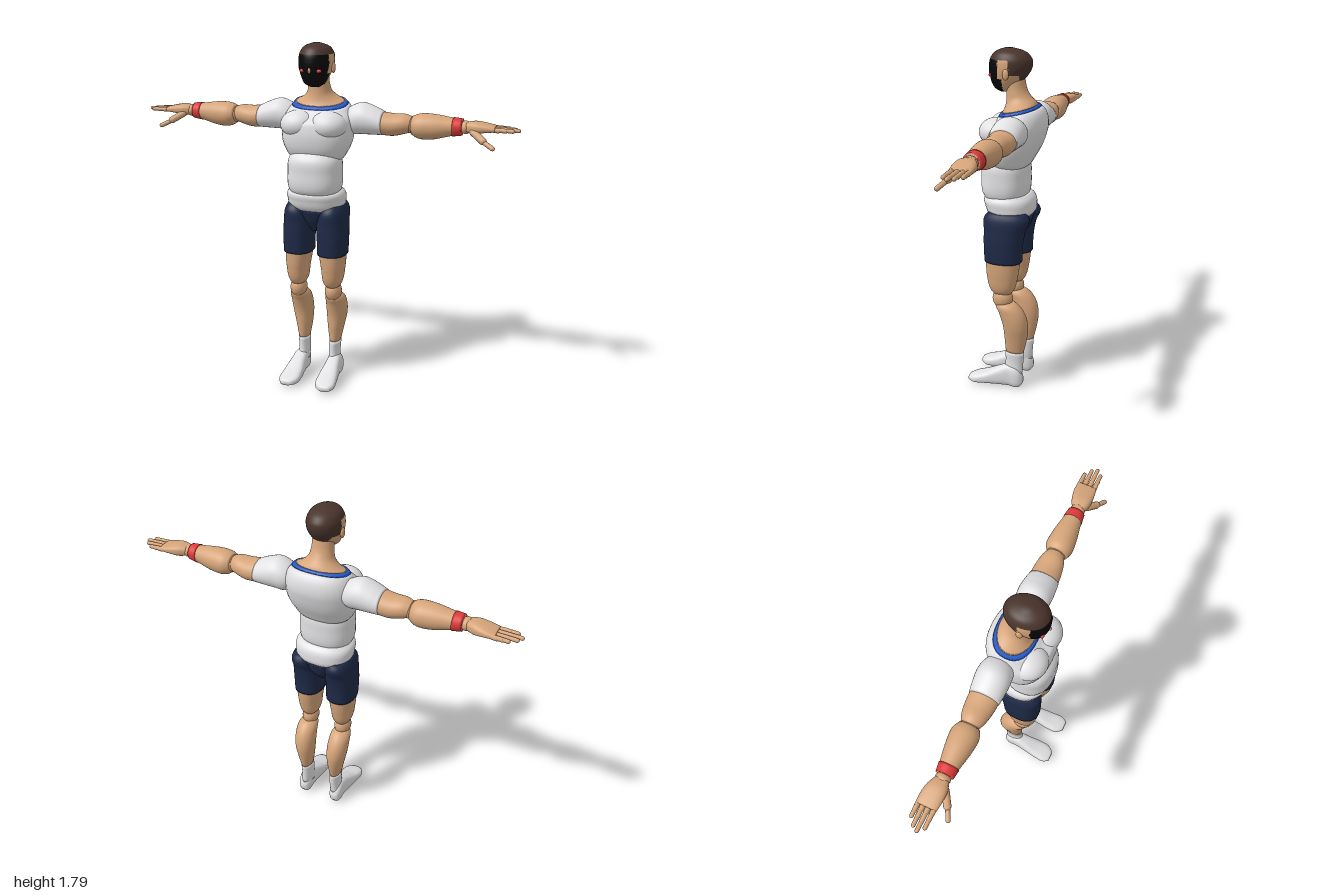
import * as THREE from 'three';

const mat = (name, color) => Object.assign(new THREE.MeshStandardMaterial({ color }), { name });

// Smooth body from sections [t, aMin, aMax, bMin, bMax] along one axis.
// axis y: a = x, b = z;  axis x: a = y, b = z;  axis z: a = x, b = y.
function loft(axis, sections, { power = 1, rings = 24, sides = 32, warp, region } = {}) {
  const spline = new THREE.CubicInterpolant(
    new Float32Array(sections.map(s => s[0])), new Float32Array(sections.flatMap(s => s.slice(1))), 4);
  const t0 = sections[0][0], t1 = sections[sections.length - 1][0];
  const sign = axis === 'y' ? 1 : -1;
  const round = v => Math.sign(v) * Math.abs(v) ** power;
  const points = [];
  const add = (t, a, b) => {
    const p = axis === 'y' ? new THREE.Vector3(a, t, b)
      : axis === 'x' ? new THREE.Vector3(t, a, b) : new THREE.Vector3(a, b, t);
    if (warp) warp(p);
    points.push(p);
  };
  for (let i = 0; i <= rings; i++) {
    const t = t0 + (t1 - t0) * i / rings;
    const [a0, a1, b0, b1] = Array.from(spline.evaluate(Math.min(t, t1 - 1e-6)));
    for (let j = 0; j < sides; j++) {
      const q = j / sides * Math.PI * 2;
      add(t, (a0 + a1) / 2 + (a1 - a0) / 2 * round(Math.cos(q)),
        (b0 + b1) / 2 + sign * (b1 - b0) / 2 * round(Math.sin(q)));
    }
  }
  for (const s of [sections[0], sections[sections.length - 1]]) add(s[0], (s[1] + s[2]) / 2, (s[3] + s[4]) / 2);
  const buckets = [[], [], []];
  const face = (...f) => {
    const c = new THREE.Vector3();
    f.forEach(k => c.addScaledVector(points[k], 1 / 3));
    buckets[region ? region(c) : 0].push(...f);
  };
  const start = (rings + 1) * sides;
  for (let j = 0; j < sides; j++) {
    const k = (j + 1) % sides, top = rings * sides;
    for (let i = 0; i < rings; i++) {
      const r = i * sides, n = r + sides;
      face(r + j, n + j, r + k);
      face(n + j, n + k, r + k);
    }
    face(start, j, k);
    face(start + 1, top + k, top + j);
  }
  const g = new THREE.BufferGeometry().setFromPoints(points);
  g.setIndex(buckets.flat());
  if (region) {
    let at = 0;
    buckets.forEach((b, m) => { g.addGroup(at, b.length, m); at += b.length; });
  }
  g.computeVertexNormals();
  return g;
}

// Loft symmetric about x = 0, from sections [y, halfWidth, zBack, zFront]
const trunk = (rows, options) => loft('y', rows.map(([y, w, b, f]) => [y, -w, w, b, f]), options);

const ball = (x, y, z, rx, ry = rx, rz = rx) =>
  new THREE.SphereGeometry(1, 24, 16).scale(rx, ry, rz).translate(x, y, z);

// Capsule joining two points
function bone(from, to, radius) {
  const a = new THREE.Vector3(...from), b = new THREE.Vector3(...to), d = b.clone().sub(a);
  const turn = new THREE.Quaternion().setFromUnitVectors(new THREE.Vector3(0, 1, 0), d.clone().normalize());
  const mid = a.add(b).multiplyScalar(0.5);
  return new THREE.CapsuleGeometry(radius, d.length(), 4, 12).applyQuaternion(turn).translate(mid.x, mid.y, mid.z);
}

function mirrored(geometry) {
  const g = geometry.clone().scale(-1, 1, 1), ix = g.index.array;
  for (let i = 0; i < ix.length; i += 3) [ix[i], ix[i + 1]] = [ix[i + 1], ix[i]];
  return g;
}

export function createModel() {
  const skin = mat('skin', 0xd6a57a), cloth = mat('white cloth', 0xe2e2e4), navy = mat('navy shorts', 0x1e2a47);
  const hair = mat('brown hair', 0x49342c), black = mat('black mask', 0x080808);
  const red = mat('red', 0xe03a3a), blue = mat('blue collar', 0x2a5cc8);
  const model = new THREE.Group();
  model.name = 'figure';
  const part = (name, material, geometry) => {
    const m = new THREE.Mesh(geometry, material);
    m.name = name;
    model.add(m);
  };
  const pair = (name, material, geometry) => {
    part(name + 'Left', material, geometry);
    part(name + 'Right', material, mirrored(geometry));
  };

  // Torso: the neckline slopes up toward the back
  const slope = p => { p.y -= THREE.MathUtils.clamp((p.y - 1.4) / 0.07, 0, 1) * 0.22 * (p.z + 0.07); };
  part('chest', cloth, trunk([
    [1.19, 0.09, -0.08, 0.04], [1.21, 0.13, -0.105, 0.075], [1.25, 0.158, -0.13, 0.105], [1.3, 0.178, -0.158, 0.12],
    [1.36, 0.184, -0.18, 0.122], [1.42, 0.178, -0.19, 0.105], [1.46, 0.16, -0.175, 0.065], [1.483, 0.143, -0.152, 0.04],
  ], { power: 0.85, warp: slope }));
  pair('pectoral', cloth, ball(0.078, 1.385, 0.04, 0.095, 0.07, 0.088));
  part('collar', blue, trunk([[1.481, 0.146, -0.154, 0.043], [1.496, 0.134, -0.143, 0.034]],
    { power: 0.85, rings: 2, warp: slope }));
  part('neck', skin, trunk([
    [1.494, 0.132, -0.142, 0.032], [1.51, 0.1, -0.135, 0.022], [1.54, 0.067, -0.112, 0.014],
    [1.58, 0.056, -0.09, 0.012], [1.65, 0.052, -0.075, 0.02],
  ], { warp: slope }));
  part('abdomen', cloth, trunk([
    [1.03, 0.118, -0.085, 0.11], [1.06, 0.134, -0.1, 0.13], [1.15, 0.139, -0.106, 0.137],
    [1.22, 0.13, -0.1, 0.13], [1.26, 0.1, -0.075, 0.095],
  ], { power: 0.85 }));
  part('pelvis', cloth, trunk([
    [0.935, 0.1, -0.1, 0.075], [0.96, 0.138, -0.13, 0.1], [1, 0.15, -0.137, 0.116],
    [1.04, 0.146, -0.126, 0.121], [1.06, 0.125, -0.105, 0.1],
  ], { power: 0.85 }));
  part('shortsCrotch', navy, trunk([
    [0.83, 0.025, -0.06, 0.035], [0.88, 0.07, -0.105, 0.072], [0.95, 0.14, -0.128, 0.098],
  ], { rings: 10 }));

  // Legs
  pair('shortsLeg', navy, loft('y', [
    [0.715, 0.016, 0.168, -0.095, 0.1], [0.8, 0.014, 0.171, -0.098, 0.103], [0.88, 0.014, 0.168, -0.112, 0.103],
    [0.95, 0.03, 0.16, -0.136, 0.1], [0.98, 0.05, 0.145, -0.115, 0.075],
  ], { power: 0.85 }));
  pair('thigh', skin, loft('y', [
    [0.535, 0.062, 0.13, -0.04, 0.055], [0.555, 0.049, 0.142, -0.055, 0.07],
    [0.63, 0.038, 0.155, -0.075, 0.088], [0.73, 0.022, 0.162, -0.088, 0.095],
  ], { power: 0.9 }));
  pair('knee', skin, ball(0.097, 0.505, 0.005, 0.044, 0.056, 0.054));
  pair('calf', skin, loft('y', [
    [0.2, 0.06, 0.117, -0.108, -0.01], [0.28, 0.048, 0.134, -0.126, -0.004], [0.36, 0.042, 0.15, -0.132, 0.004],
    [0.43, 0.044, 0.153, -0.112, 0.025], [0.47, 0.05, 0.147, -0.08, 0.042], [0.488, 0.065, 0.13, -0.055, 0.032],
  ]));
  pair('sock', cloth, loft('y', [
    [0.07, 0.058, 0.124, -0.1, 0.01], [0.12, 0.057, 0.116, -0.104, -0.006], [0.2, 0.058, 0.119, -0.11, -0.008],
  ], { rings: 8 }));
  pair('shoe', cloth, loft('z', [
    [-0.105, 0.078, 0.112, 0.02, 0.06], [-0.09, 0.065, 0.125, 0, 0.095], [-0.03, 0.058, 0.132, 0, 0.122],
    [0.03, 0.053, 0.14, 0, 0.1], [0.1, 0.046, 0.15, 0, 0.066], [0.16, 0.052, 0.152, 0, 0.045],
    [0.19, 0.078, 0.135, 0.006, 0.033],
  ], { power: 0.7 }));

  // Arms
  pair('sleeve', cloth, loft('x', [
    [0.12, 1.37, 1.44, -0.12, -0.03], [0.165, 1.335, 1.475, -0.148, 0], [0.22, 1.335, 1.493, -0.157, 0.01],
    [0.28, 1.336, 1.476, -0.154, 0.008], [0.33, 1.337, 1.453, -0.147, 0.002],
  ]));
  pair('upperArm', skin, loft('x', [
    [0.32, 1.338, 1.452, -0.145, 0], [0.38, 1.336, 1.446, -0.143, -0.006],
    [0.44, 1.35, 1.446, -0.132, -0.018], [0.472, 1.36, 1.437, -0.118, -0.032],
  ]));
  pair('elbow', skin, ball(0.475, 1.395, -0.075, 0.042, 0.042, 0.047));
  pair('forearm', skin, loft('x', [
    [0.475, 1.348, 1.44, -0.125, -0.022], [0.505, 1.332, 1.452, -0.141, -0.01], [0.57, 1.33, 1.455, -0.14, -0.012],
    [0.675, 1.355, 1.442, -0.122, -0.03], [0.72, 1.362, 1.438, -0.115, -0.036],
  ]));
  pair('wristband', red, loft('x', [[0.675, 1.352, 1.445, -0.125, -0.027], [0.72, 1.359, 1.441, -0.118, -0.033]],
    { rings: 4 }));
  pair('wrist', skin, ball(0.735, 1.4, -0.075, 0.03, 0.032, 0.036));
  pair('palm', skin, loft('x', [
    [0.74, 1.377, 1.427, -0.108, -0.042], [0.78, 1.372, 1.432, -0.126, -0.03],
    [0.83, 1.38, 1.425, -0.136, -0.03], [0.878, 1.386, 1.414, -0.136, -0.036],
  ], { power: 0.75 }));

  // Fingers in three joints each, little finger to index
  [[-0.125, 0.952], [-0.1, 0.985], [-0.075, 1], [-0.049, 0.975]].forEach(([z, tip], f) => {
    const x0 = 0.865, step = (tip - 0.009 - x0) / 3;
    for (let k = 0; k < 3; k++) {
      pair(`finger${f + 1}Joint${k + 1}`, skin,
        bone([x0 + k * step, 1.4, z], [x0 + (k + 1) * step - 0.006, 1.398, z], 0.0125 - k * 0.0013));
    }
  });
  pair('thumbBase', skin, bone([0.775, 1.385, -0.045], [0.83, 1.35, -0.012], 0.018));
  pair('thumbTip', skin, bone([0.835, 1.345, -0.008], [0.88, 1.323, 0.014], 0.0115));

  // Head: hair, bare skin and face mask
  part('head', [hair, skin, black], trunk([
    [1.572, 0.022, 0, 0.045], [1.585, 0.046, -0.015, 0.068], [1.61, 0.063, -0.05, 0.086], [1.65, 0.079, -0.09, 0.098],
    [1.7, 0.087, -0.115, 0.102], [1.74, 0.08, -0.108, 0.092], [1.77, 0.054, -0.07, 0.062], [1.785, 0.014, -0.015, 0.02],
  ], {
    rings: 56, sides: 64,
    region: ({ y, z }) => {
      if (y > 1.733 || (z < -0.02 && y > 1.66) || (z < -0.065 && y > 1.625)) return 0;
      return z > (y > 1.64 ? 0.038 : 0.018) ? 2 : 1;
    },
  }));
  pair('ear', skin, ball(0.086, 1.665, -0.008, 0.01, 0.027, 0.016));
  pair('eye', red, ball(0.043, 1.655, 0.084, 0.014, 0.009, 0.008).rotateY(0));
  part('nose', skin, ball(0, 1.657, 0.1, 0.007, 0.014, 0.007));
  return model;
}
